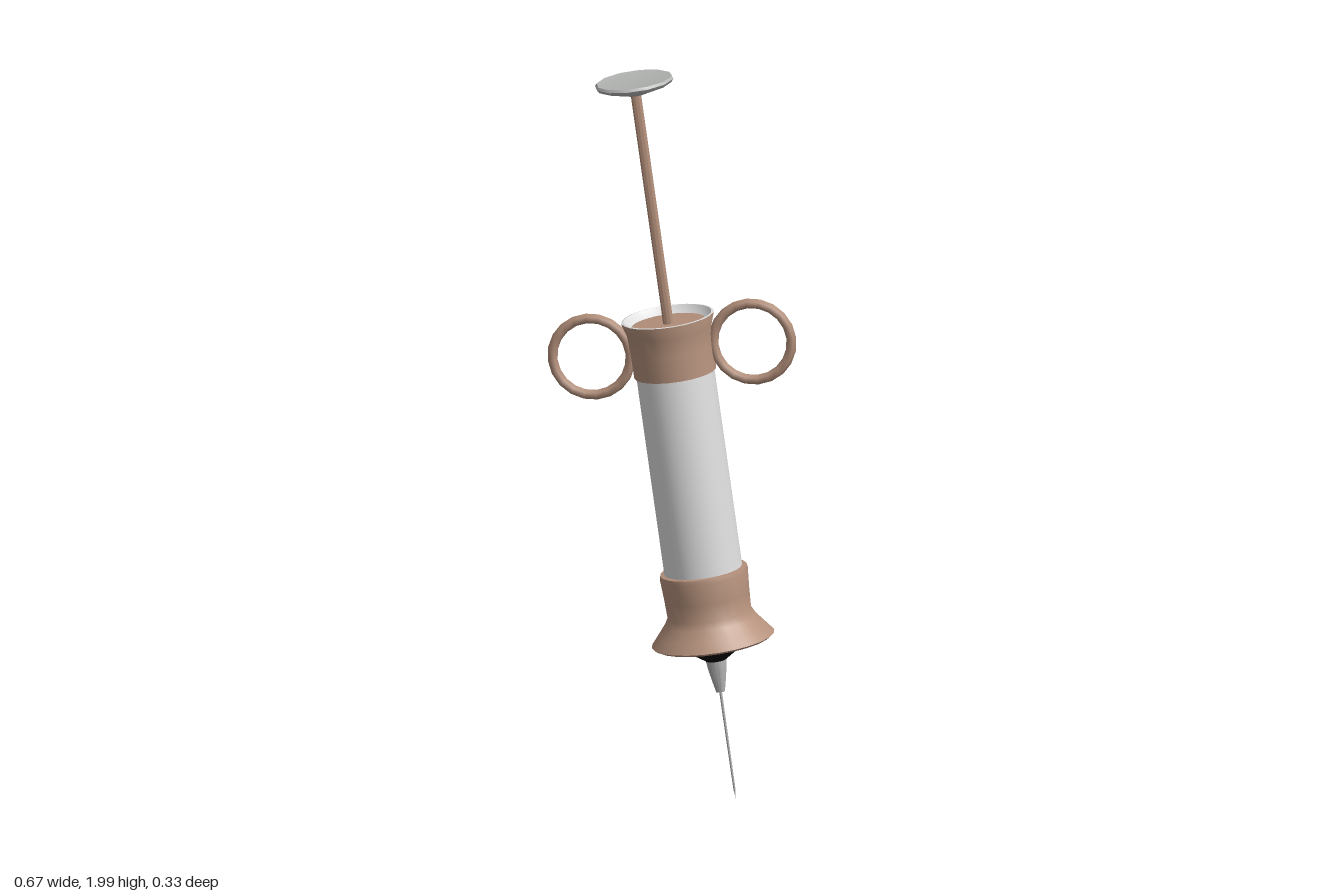
import * as THREE from 'three';
import { toCreasedNormals } from 'three/addons/utils/BufferGeometryUtils.js';

const material = (name, color) => {
  const m = new THREE.MeshStandardMaterial({ color });
  m.name = name;
  return m;
};

export function createModel() {
  const copper = material('copper', 0xb5917c);
  const glass = material('pale glass', 0xdedede);
  const metal = material('grey metal', 0xb4b6b4);
  const black = material('black', 0x0a0a0a);

  const model = new THREE.Group();
  model.name = 'syringe';

  // Everything is built upright from the needle tip, then tilted
  const body = new THREE.Group();
  body.name = 'tiltedBody';
  body.position.x = 0.17;
  body.rotation.z = 0.1385;
  model.add(body);

  const add = (name, geometry, mat) => {
    const mesh = new THREE.Mesh(geometry, mat);
    mesh.name = name;
    body.add(mesh);
    return mesh;
  };
  // Profile points are [radius, height], running up the outside
  const lathe = (name, profile, mat, sides = 24) => {
    const points = profile.map(([r, h]) => new THREE.Vector2(r, h));
    return add(name, toCreasedNormals(new THREE.LatheGeometry(points, sides), 0.7), mat);
  };

  // Needle and its hub
  lathe('needle', [[0, 0.004], [0.003, 0.03], [0.004, 0.32]], metal, 8);
  lathe('needleHub', [[0, 0.302], [0.012, 0.302], [0.018, 0.33], [0.025, 0.365],
    [0.03, 0.405], [0.03, 0.45]], metal, 16);

  // Jagged black seal under the base
  const seal = new THREE.CylinderGeometry(0.108, 0.028, 0.055, 20, 1, true);
  const p = seal.attributes.position;
  for (let i = 0; i <= 20; i++) {
    if (i % 2) {
      p.setX(i, p.getX(i) * 0.72);
      p.setZ(i, p.getZ(i) * 0.72);
      p.setY(i, p.getY(i) - 0.012);
    }
  }
  seal.translate(0, 0.418, 0);
  seal.computeVertexNormals();
  const sealMaterial = black;
  sealMaterial.side = THREE.DoubleSide;
  add('seal', seal, sealMaterial);

  // Flared base collar with a shallow hollow underneath
  lathe('baseCollar', [[0, 0.462], [0.1, 0.462], [0.158, 0.443], [0.166, 0.449],
    [0.145, 0.475], [0.123, 0.503], [0.113, 0.522], [0.115, 0.57], [0.119, 0.63],
    [0.117, 0.641], [0.1, 0.643]], copper);

  // Barrel
  lathe('barrel', [[0.105, 0.62], [0.105, 1.22]], glass, 32);

  // Upper collar and the pale lining of its mouth
  lathe('upperCollar', [[0.1, 1.188], [0.111, 1.19], [0.112, 1.26], [0.115, 1.31],
    [0.125, 1.34], [0.125, 1.345]], copper);
  lathe('mouthLining', [[0.125, 1.345], [0.119, 1.346], [0.103, 1.325], [0.09, 1.318]], glass);

  // Plunger
  lathe('plungerDisc', [[0.1, 1.3], [0.1, 1.327], [0, 1.327]], copper);
  lathe('plungerRod', [[0.014, 1.31], [0.014, 1.975]], copper, 10);
  lathe('thumbCap', [[0, 1.962], [0.025, 1.964], [0.1, 1.988], [0.107, 1.997],
    [0.102, 2.004], [0.09, 2.002], [0, 2.002]], metal, 12);

  // Finger rings
  for (const side of [-1, 1]) {
    const ring = add(side > 0 ? 'leftFingerRing' : 'rightFingerRing',
      new THREE.TorusGeometry(0.106, 0.0135, 6, 20), copper);
    ring.position.set(side * 0.22, 1.255, 0);
  }
  return model;
}
